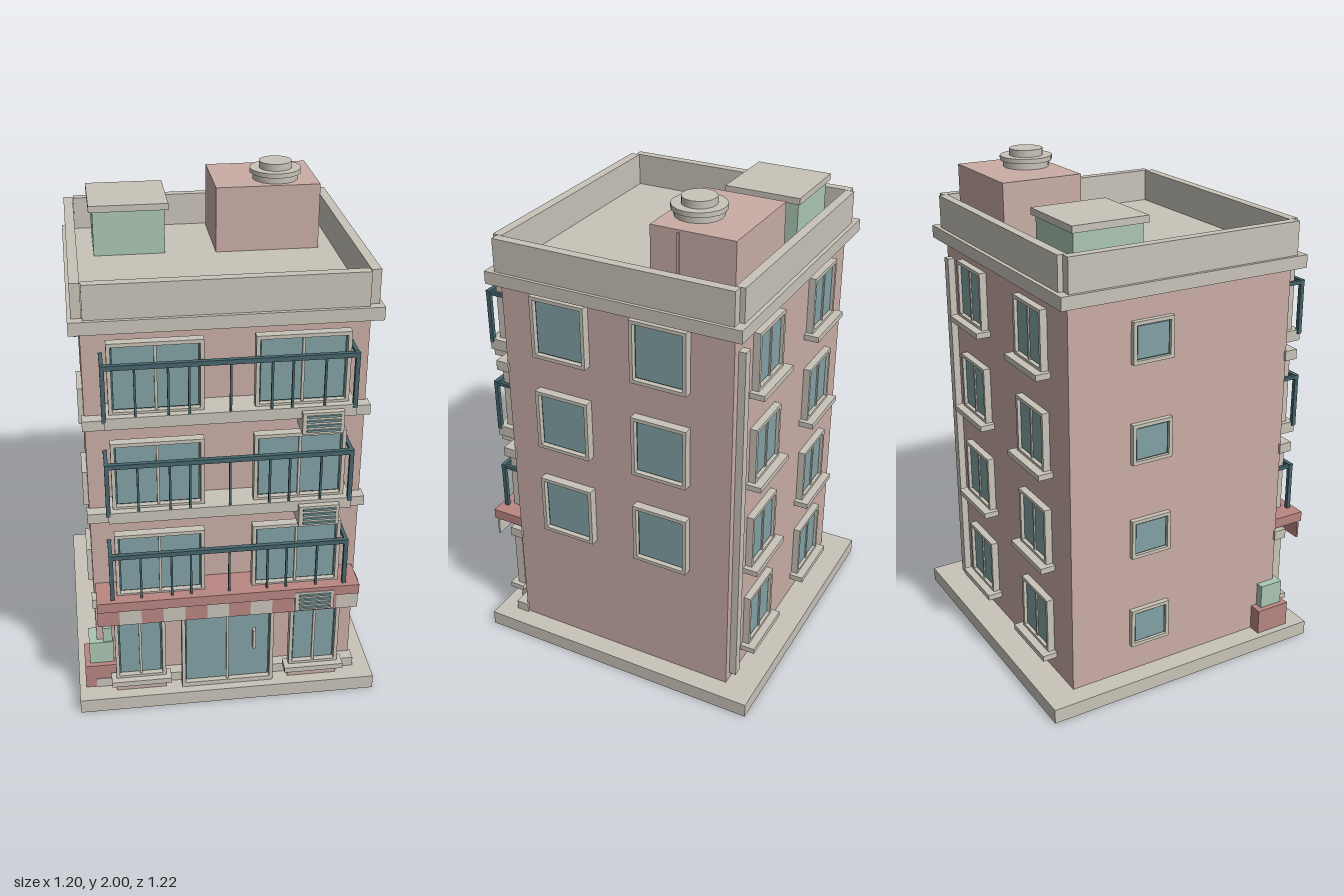
import * as THREE from 'three';

const mat = (name, color) => {
  const m = new THREE.MeshStandardMaterial({ color });
  m.name = name;
  return m;
};

export function createModel() {
  const stone = mat('pale stone', 0xc9c4b9);
  const wall = mat('pink plaster', 0xcaada7);
  const glass = mat('teal glass', 0x82a2a5);
  const metal = mat('dark teal metal', 0x45666c);
  const red = mat('dusty red', 0xb98682);
  const green = mat('pale green', 0xabc7b4);

  const root = new THREE.Group();
  root.name = 'apartmentBuilding';

  // Box given by its minimum and maximum along each axis
  const box = (name, m, x0, x1, y0, y1, z0, z1, parent = root) => {
    const mesh = new THREE.Mesh(new THREE.BoxGeometry(x1 - x0, y1 - y0, z1 - z0), m);
    mesh.position.set((x0 + x1) / 2, (y0 + y1) / 2, (z0 + z1) / 2);
    mesh.name = name;
    parent.add(mesh);
    return mesh;
  };
  const group = (name, parent = root) => {
    const g = new THREE.Group();
    g.name = name;
    parent.add(g);
    return g;
  };

  // Framed window facing local +z, standing on its bottom centre
  const makeWindow = (name, w, h, d, { panes = 1, bar = 0.014, sill = 0, bottom = bar } = {}) => {
    const g = group(name);
    const a = w / 2;
    box('frameLeft', stone, -a, -a + bar, 0, h, 0, d, g);
    box('frameRight', stone, a - bar, a, 0, h, 0, d, g);
    box('frameTop', stone, -a + bar, a - bar, h - bar, h, 0, d, g);
    box('frameBottom', stone, -a + bar, a - bar, 0, bottom, 0, d, g);
    box('innerRim', metal, -a + bar, a - bar, bottom, h - bar, 0, d * 0.4, g);
    const step = (w - 2 * bar) / panes, gap = 0.005;
    for (let i = 0; i < panes; i++) {
      const x = -a + bar + i * step;
      box('pane', glass, x + gap, x + step - gap, bottom + gap, h - bar - gap, d * 0.4, d * 0.4 + 0.006, g);
      if (i) box('mullion', stone, x - gap, x + gap, bottom, h - bar, d * 0.4, d * 0.8, g);
    }
    if (sill) box('sill', stone, -a - 0.02, a + 0.02, -0.02, 0.003, 0, sill, g);
    return g;
  };
  const place = (g, x, y, z, turn = 0) => {
    g.position.set(x, y, z);
    g.rotation.y = turn;
  };

  // Base, body and cornice
  box('base', stone, -0.6, 0.6, 0, 0.06, -0.61, 0.587);
  box('body', wall, -0.52, 0.52, 0.06, 1.62, -0.488, 0.463);
  box('cornice', stone, -0.56, 0.56, 1.62, 1.67, -0.532, 0.506);

  // Parapet walls around the roof
  box('parapetFront', stone, -0.508, 0.508, 1.67, 1.8, 0.453, 0.491);
  box('parapetBack', stone, -0.508, 0.508, 1.67, 1.8, -0.516, -0.48);
  box('parapetLeft', stone, 0.51, 0.547, 1.67, 1.8, -0.497, 0.47);
  box('parapetRight', stone, -0.547, -0.51, 1.67, 1.8, -0.497, 0.47);

  // Roof room with a vent, and a green shed with a lid
  box('roofRoom', wall, 0.038, 0.448, 1.67, 1.93, -0.452, -0.125);
  box('roofRoomTrim', wall, 0.448, 0.453, 1.67, 1.92, -0.24, -0.23);
  const disc = (name, r, y0, y1) => {
    const m = new THREE.Mesh(new THREE.CylinderGeometry(r, r, y1 - y0, 16), stone);
    m.position.set(0.287, (y0 + y1) / 2, -0.233);
    m.name = name;
    root.add(m);
  };
  disc('ventBody', 0.09, 1.93, 1.96);
  disc('ventRim', 0.102, 1.955, 1.973);
  disc('ventCap', 0.065, 1.97, 2);
  box('roofShed', green, -0.442, -0.162, 1.67, 1.85, -0.42, -0.14);
  box('roofShedLid', stone, -0.457, -0.147, 1.85, 1.876, -0.432, -0.125);

  const floorStep = 0.395;

  // Stone bands across the front at each storey
  for (let i = 0; i < 4; i++) {
    const y = 0.06 + i * floorStep;
    box('floorBand', stone, -0.53, 0.53, y, y + 0.04, 0.455, 0.509);
  }

  // Balconies, front windows and wall units on the three upper storeys
  for (let i = 0; i < 3; i++) {
    const y = 0.495 + i * floorStep;
    const b = group('balcony' + (i + 1));
    box('balconyFloor', stone, -0.452, 0.458, y, y + 0.045, 0.463, 0.582, b);
    box('topRail', metal, -0.46, 0.46, y + 0.232, y + 0.25, 0.566, 0.584, b);
    for (const s of [-1, 1]) {
      box('sideRail', metal, s * 0.452 - 0.007, s * 0.452 + 0.007, y + 0.234, y + 0.248, 0.463, 0.57, b);
      box('endPost', metal, s * 0.452 - 0.008, s * 0.452 + 0.008, y + 0.03, y + 0.24, 0.567, 0.583, b);
      for (const x of [0.148, 0.222, 0.34])
        box('baluster', metal, s * x - 0.004, s * x + 0.004, y + 0.04, y + 0.24, 0.57, 0.579, b);
      place(makeWindow('balconyWindow', 0.342, 0.28, 0.036, { panes: 2 }), s * 0.263, y + 0.04, 0.518);
    }
    box('middleBaluster', metal, -0.004, 0.004, y + 0.04, y + 0.24, 0.57, 0.579, b);

    const u = group('wallUnit' + (i + 1));
    const c = 0.483 + i * floorStep;
    box('unitCase', stone, 0.257, 0.41, c - 0.043, c + 0.043, 0.5, 0.605, u);
    for (let k = 0; k < 4; k++) {
      const ly = c - 0.028 + k * 0.019;
      box('louver', glass, 0.272, 0.397, ly - 0.004, ly + 0.004, 0.605, 0.612, u);
    }
  }

  // Awning with a striped valance
  box('awning', red, -0.514, 0.51, 0.5, 0.542, 0.463, 0.602);
  for (let i = 0; i < 12; i++) {
    const x = -0.514 + i * 1.024 / 12;
    box('valanceStripe', i % 2 ? stone : red, x, x + 1.024 / 12, 0.426, 0.5, 0.582, 0.59);
  }

  // Shop front: double door and two side windows
  place(makeWindow('doubleDoor', 0.37, 0.41, 0.036, { panes: 2, bottom: 0.02 }), 0, 0.06, 0.518);
  box('doorHandle', stone, 0.1, 0.112, 0.235, 0.322, 0.54, 0.562);
  for (const s of [-1, 1]) {
    place(makeWindow('shopWindow', 0.2, 0.34, 0.036, { panes: 2, sill: 0.062 }), s * 0.35, 0.13, 0.518);
    box('shopWindowFoot', wall, s * 0.35 - 0.1, s * 0.35 + 0.1, 0.06, 0.11, 0.509, 0.54);
  }

  // Large windows on the left wall, three storeys
  for (let i = 0; i < 3; i++)
    for (const z of [-0.207, 0.207])
      place(makeWindow('sideWindow', 0.228, 0.25, 0.035), 0.52, 0.568 + i * floorStep, z, Math.PI / 2);

  // Small windows on the right wall and wide windows with sills at the back
  for (let i = 0; i < 4; i++) {
    place(makeWindow('smallWindow', 0.17, 0.162, 0.02), -0.52, 0.178 + i * floorStep, -0.15, -Math.PI / 2);
    for (const x of [-0.255, 0.255])
      place(makeWindow('backWindow', 0.222, 0.235, 0.028, { panes: 2, sill: 0.06 }),
        x, 0.148 + i * floorStep, -0.488, Math.PI);
  }

  // Drainpipe at the back
  box('drainpipe', stone, 0.452, 0.488, 0.085, 1.55, -0.516, -0.486);

  // Planter at the front corner
  box('planter', red, -0.573, -0.42, 0.06, 0.165, 0.36, 0.506);
  box('shrub', green, -0.552, -0.455, 0.165, 0.265, 0.385, 0.485);
  box('tallShrub', green, -0.495, -0.458, 0.165, 0.33, 0.4, 0.48);

  return root;
}
